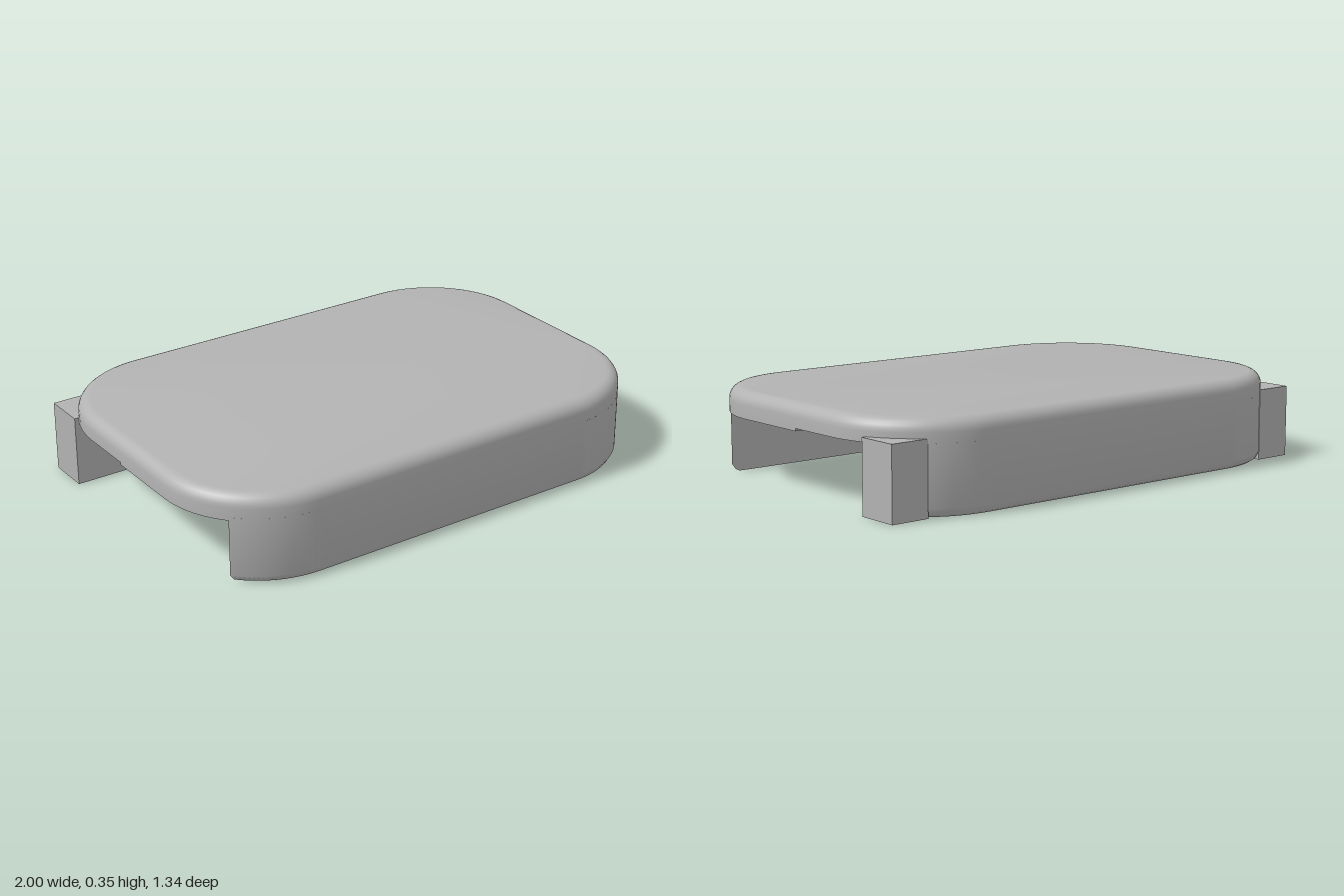
import * as THREE from 'three';
import { toCreasedNormals } from 'three/addons/utils/BufferGeometryUtils.js';

const HALF_X = 1, HALF_Z = 0.67, RADIUS = 0.4;

// Rounded-rectangle outline shrunk by `inset`, keeping only z >= cut (no cut = whole outline)
function outline(inset, cut) {
  const r = RADIUS - inset, cx = HALF_X - RADIUS, cz = HALF_Z - RADIUS, n = 20, pts = [];
  const arc = (x, z, a, b) => {
    for (let i = 0; i <= n; i++) {
      const t = a + (b - a) * i / n;
      pts.push([x + r * Math.cos(t), z + r * Math.sin(t)]);
    }
  };
  const start = cut === undefined ? 0 : Math.asin(Math.max(0, (cut - cz) / r));
  if (cut !== undefined && cut < cz) pts.push([HALF_X - inset, cut]);
  arc(cx, cz, start, Math.PI / 2);
  arc(-cx, cz, Math.PI / 2, Math.PI - start);
  if (cut === undefined) {
    arc(-cx, -cz, Math.PI, Math.PI * 1.5);
    arc(cx, -cz, Math.PI * 1.5, Math.PI * 2);
  } else if (cut < cz) pts.push([-HALF_X + inset, cut]);
  return pts;
}

// Closed solid through outline sections, given as [height, inset] from bottom to top
function loft(sections, cut) {
  const rings = sections.map(([y, d]) => outline(d, cut).map(([x, z]) => [x, y, z]));
  const pos = [], n = rings[0].length, last = rings[rings.length - 1];
  const tri = (...p) => p.forEach((v) => pos.push(...v));
  for (let k = 0; k < rings.length - 1; k++) {
    for (let i = 0; i < n; i++) {
      const j = (i + 1) % n, a = rings[k], b = rings[k + 1];
      tri(a[i], b[i], a[j]);
      tri(a[j], b[i], b[j]);
    }
  }
  for (let i = 1; i < n - 1; i++) {
    tri(rings[0][0], rings[0][i], rings[0][i + 1]);
    tri(last[0], last[i + 1], last[i]);
  }
  const geo = new THREE.BufferGeometry();
  geo.setAttribute('position', new THREE.Float32BufferAttribute(pos, 3));
  return toCreasedNormals(geo, 0.5);
}

export function createModel() {
  const group = new THREE.Group();
  group.name = 'roundedCover';
  const grey = new THREE.MeshStandardMaterial({ color: 0xb2b2b2 });
  grey.name = 'grey';

  const add = (name, geo) => {
    const mesh = new THREE.Mesh(geo, grey);
    mesh.name = name;
    group.add(mesh);
    return mesh;
  };
  const box = (name, x0, x1, y0, y1, z0, z1) => {
    add(name, new THREE.BoxGeometry(x1 - x0, y1 - y0, z1 - z0))
      .position.set((x0 + x1) / 2, (y0 + y1) / 2, (z0 + z1) / 2);
  };

  // Top slab with a rounded upper rim
  const top = [[0.26, 0]];
  for (let i = 0; i <= 6; i++) {
    const t = (i / 6) * Math.PI / 2;
    top.push([0.3 + 0.05 * Math.sin(t), 0.05 * (1 - Math.cos(t))]);
  }
  add('topSlab', loft(top));
  // Slightly thicker front part of the slab
  add('slabUnderside', loft([[0.25, 0], [0.262, 0]], -0.05));

  // Front and back walls with rounded lower edges
  const wall = [[0, 0.025], [0.008, 0.012], [0.03, 0], [0.262, 0]];
  add('frontWall', loft(wall, 0.535));
  add('backWall', loft(wall, 0.56)).rotation.y = Math.PI;

  // Rear crossbar, its end blocks and the chamfered tab, split by a central channel
  const tab = new THREE.Shape([[0.43, 0], [0.365, 0], [0.34, 0.025], [0.34, 0.22], [0.43, 0.22]]
    .map(([x, y]) => new THREE.Vector2(x, y)));
  for (const s of [1, -1]) {
    const span = (a, b) => (s > 0 ? [a, b] : [-b, -a]);
    box('endBlock', ...span(0.83, 0.985), 0, 0.28, -0.6, -0.43);
    box('crossbar', ...span(0.05, 0.83), 0, 0.27, -0.507, -0.43);
    const half = add('lockingTab', new THREE.ExtrudeGeometry(tab, { depth: 0.17, bevelEnabled: false }));
    half.rotation.y = Math.PI / 2;
    half.position.x = s > 0 ? 0.05 : -0.22;
  }
  box('channelRoof', -0.05, 0.05, 0.09, 0.27, -0.507, -0.43);
  box('tabBridge', -0.05, 0.05, 0.09, 0.22, -0.43, -0.34);
  return group;
}
